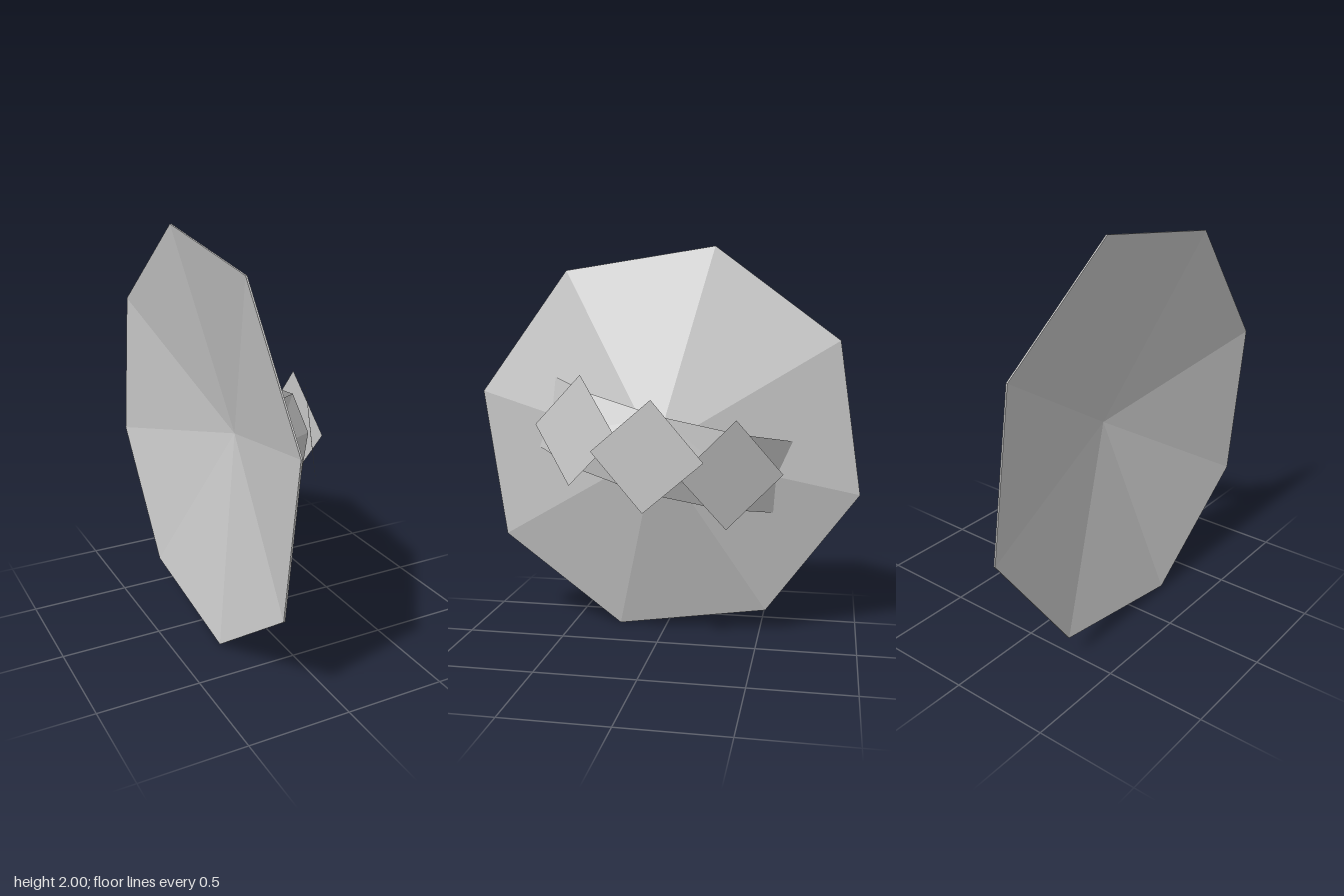
import * as THREE from 'three';

const TILT = Math.atan2(0.25, 1); // whole pattern is turned about the x axis

// Flat-shaded surface from a list of four-cornered faces [x, y, z]
function facets(quads) {
  const pos = [];
  for (const q of quads) for (const i of [0, 1, 2, 0, 2, 3]) pos.push(...q[i]);
  const g = new THREE.BufferGeometry();
  g.setAttribute('position', new THREE.Float32BufferAttribute(pos, 3));
  g.computeVertexNormals();
  return g;
}

export function createModel() {
  const grey = new THREE.MeshStandardMaterial({ color: 0xc8c8c8, side: THREE.DoubleSide });
  grey.name = 'grey';

  const model = new THREE.Group();
  model.name = 'plateOrnament';
  const hub = new THREE.Group(); // centre of the disc
  hub.name = 'hub';
  hub.position.y = 1;
  model.add(hub);

  const add = (name, geometry, turn = 0) => {
    const mesh = new THREE.Mesh(geometry, grey);
    mesh.name = name;
    mesh.rotation.x = turn;
    hub.add(mesh);
  };

  // Eight-sided cone shell: hollow back, thin rim, apex towards +x
  const profile = [[0, -0.065], [1.031, -0.275], [1.031, -0.267], [0, 0.037]];
  const cone = new THREE.LatheGeometry(
    profile.map(([r, x]) => new THREE.Vector2(r, x)), 8, -TILT).toNonIndexed();
  cone.rotateZ(-Math.PI / 2);
  cone.computeVertexNormals();
  add('shallowCone', cone);

  // Half of the folded strap: each station has a distance, edge x and ridge x;
  // the outer end sinks into the cone
  const stations = [[0.65, -0.19, -0.19], [0.39, 0.07, 0.13], [0, 0.195, 0.267]];
  const c = Math.cos(TILT), s = Math.sin(TILT);
  const at = (x, u, v) => [x, u * s + v * c, u * c - v * s];
  const columns = stations.map(([u, edge, ridge]) => ({
    top: at(edge, u, 0.19), mid: at(ridge, u, 0), bottom: at(edge, u, -0.19),
  }));
  const strapQuads = [];
  for (let i = 0; i < 2; i++) {
    const a = columns[i], b = columns[i + 1];
    strapQuads.push([a.mid, b.mid, b.top, a.top], [a.mid, a.bottom, b.bottom, b.mid]);
  }
  const strap = facets(strapQuads);

  // Slanted diamond plate beside the centre
  const sidePlate = facets([[
    [0.113, 0.37, 0.36], [0.003, 0.11, 0.625], [0.163, -0.17, 0.41], [0.27, 0.09, 0.15],
  ]]);

  // Both repeat after half a turn about x
  for (const [side, turn] of [['front', 0], ['back', Math.PI]]) {
    add(side + 'Strap', strap, turn);
    add(side + 'DiamondPlate', sidePlate, turn);
  }

  // Central diamond plate
  add('centreDiamondPlate', facets([[
    [0.275, 0.27, -0.02], [0.275, 0.02, 0.27], [0.275, -0.27, 0.02], [0.275, -0.02, -0.27],
  ]]));

  return model;
}
